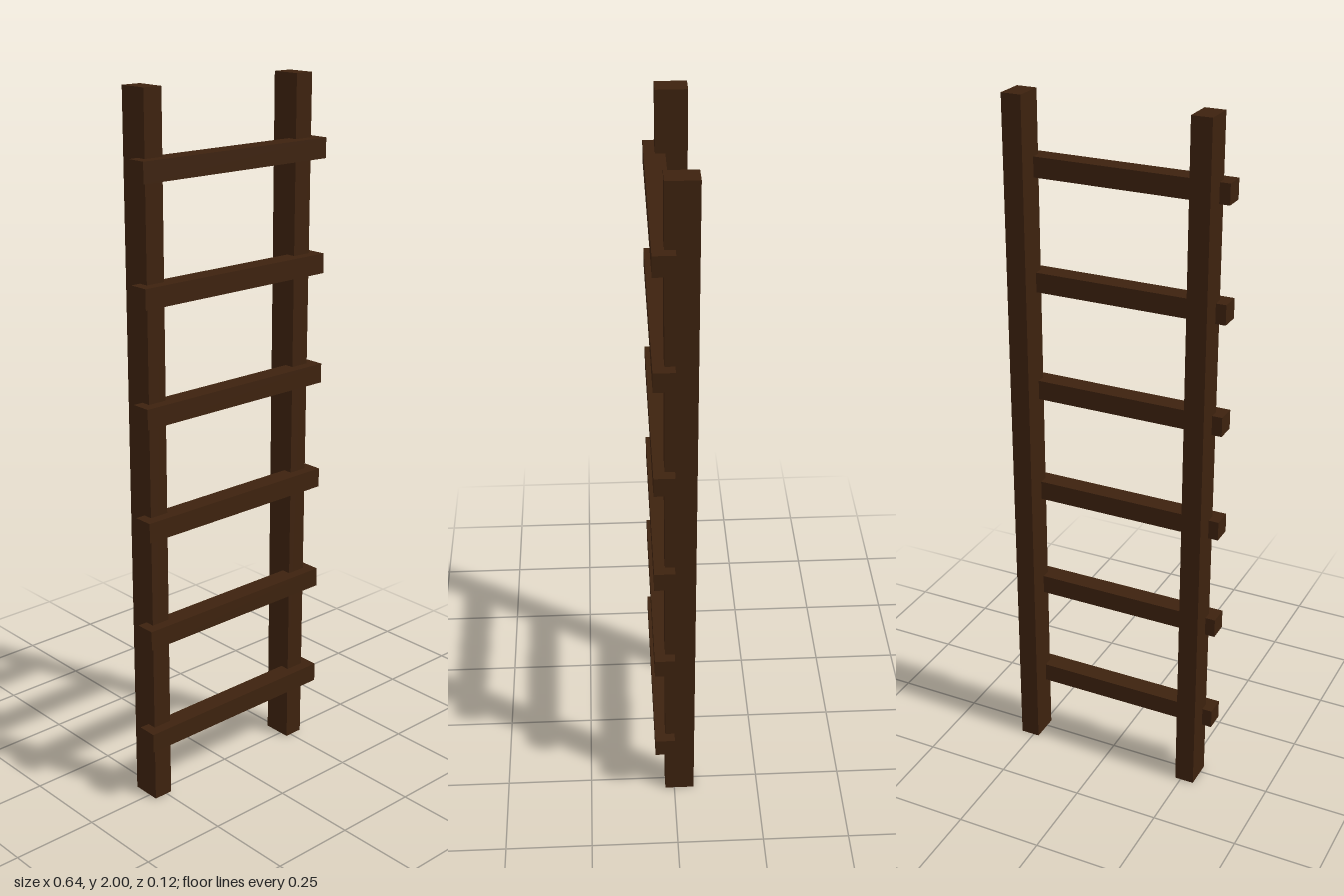
import * as THREE from 'three';

export function createModel() {
  const model = new THREE.Group();
  model.name = 'ladder';

  const darkWood = new THREE.MeshStandardMaterial({ color: 0x3d220e });
  darkWood.name = 'darkWood';

  function addBeam(name, size, position) {
    const beam = new THREE.Mesh(new THREE.BoxGeometry(...size), darkWood);
    beam.name = name;
    beam.position.set(...position);
    model.add(beam);
  }

  // Two upright rails
  for (const [name, side] of [['leftRail', 1], ['rightRail', -1]]) {
    addBeam(name, [0.057, 2, 0.085], [side * 0.2615, 1, -0.0155]);
  }

  // Six rungs let into the front of the rails
  for (let i = 0; i < 6; i++) {
    addBeam(`rung${i + 1}`, [0.638, 0.056, 0.057], [0, 0.204 + i * 0.319, 0.0285]);
  }

  return model;
}
